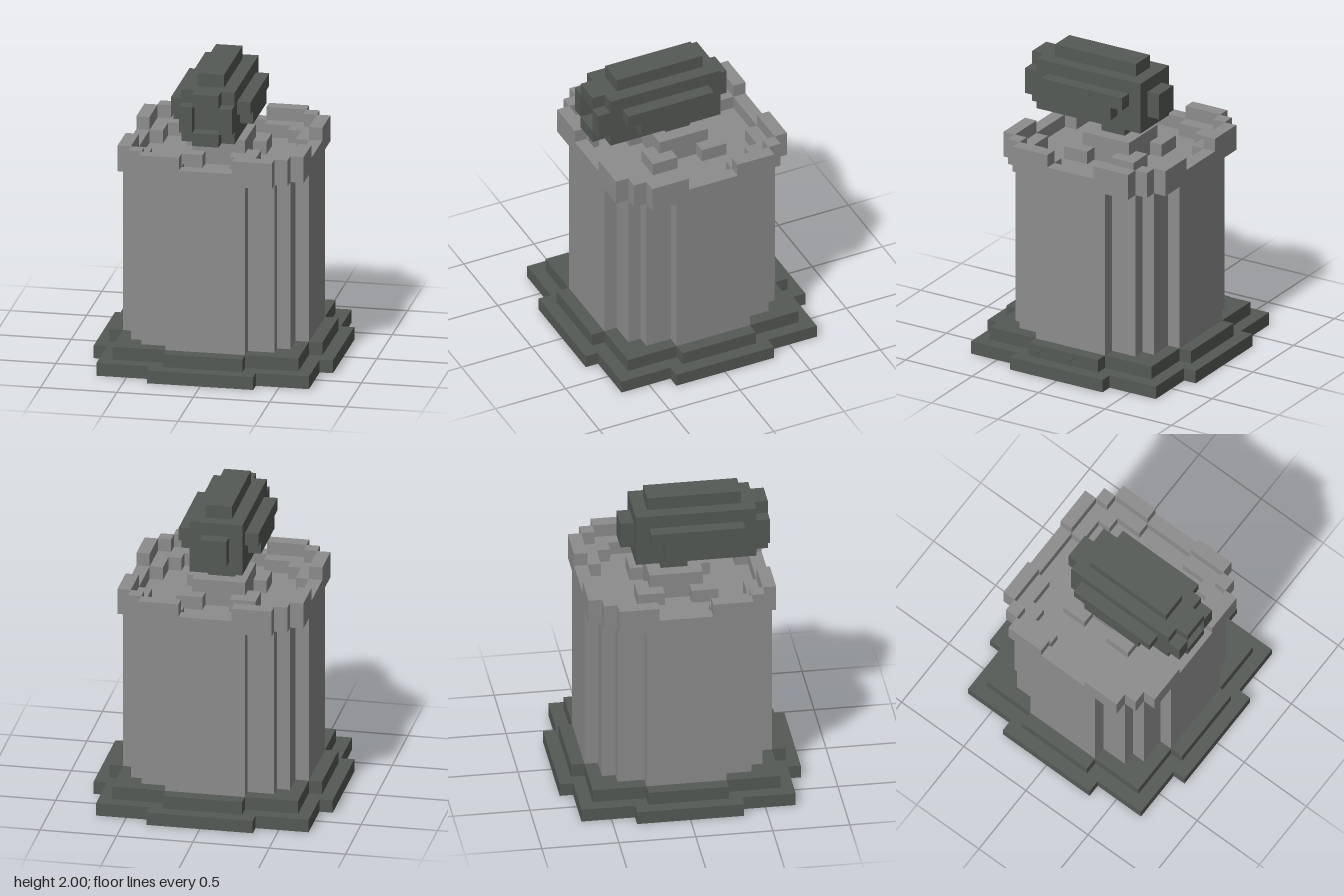
import * as THREE from 'three';

const U = 2 / 23; // one block

const stone = new THREE.MeshStandardMaterial({ color: 0x8d8d8d });
stone.name = 'stone grey';
const iron = new THREE.MeshStandardMaterial({ color: 0x555a55 });
iron.name = 'dark iron';
const wood = new THREE.MeshStandardMaterial({ color: 0xc2752f });
wood.name = 'brown wood';

// Four-way symmetric stepped outline from the corners of one quadrant
function steppedOutline(corners) {
  const quarter = [];
  corners.forEach(([x, z], i) => {
    quarter.push([x, z]);
    if (i + 1 < corners.length) quarter.push([corners[i + 1][0], z]);
  });
  const points = [];
  for (let q = 0; q < 4; q++) {
    for (const [x, z] of quarter) {
      let a = x, b = z;
      for (let k = 0; k < q; k++) [a, b] = [-b, a];
      points.push(new THREE.Vector2(a * U, b * U));
    }
  }
  return points;
}

export function createModel() {
  const model = new THREE.Group();
  model.name = 'cannonTower';

  function add(name, geometry, material) {
    const mesh = new THREE.Mesh(geometry, material);
    mesh.name = name;
    model.add(mesh);
    return mesh;
  }

  // Box between two block coordinates
  function box(name, material, x0, x1, y0, y1, z0, z1) {
    const g = new THREE.BoxGeometry((x1 - x0) * U, (y1 - y0) * U, (z1 - z0) * U);
    g.translate((x0 + x1) * U / 2, (y0 + y1) * U / 2, (z0 + z1) * U / 2);
    return add(name, g, material);
  }

  // Upright slab with the given outline between two heights
  function slab(name, material, points, y0, y1) {
    const g = new THREE.ExtrudeGeometry(new THREE.Shape(points), { depth: (y1 - y0) * U, bevelEnabled: false });
    g.rotateX(-Math.PI / 2).translate(0, y0 * U, 0);
    return add(name, g, material);
  }

  // Stepped base with a wooden underside
  slab('underside', wood, steppedOutline([[8, 3], [7, 7], [3, 8]]), 0, 0.05);
  slab('lowerStep', iron, steppedOutline([[9, 4], [8, 8], [4, 9]]), 0.01, 1);
  slab('upperStep', iron, steppedOutline([[8, 3], [7, 7], [3, 8]]), 1, 2);

  // Tower shaft
  slab('shaft', stone, steppedOutline([[7, 3], [6, 5], [5, 6], [3, 7]]), 2, 15);

  // Battlements: a stepped corner walkway with thin merlons on its rim
  const walkway = [[7, 2], [7, 5], [6, 5], [6, 6], [5, 6], [5, 7], [2, 7],
    [2, 5], [4, 5], [4, 4], [5, 4], [5, 2]].map(([x, z]) => new THREE.Vector2(x * U, z * U));
  for (let q = 0; q < 4; q++) {
    const parts = [
      slab('cornerWalkway', stone, walkway, 15, 16),
      box('merlonFront', stone, 2, 5, 16, 17, 6, 7),
      box('merlonCorner', stone, 5, 6, 16, 17, 5, 6),
      box('merlonSide', stone, 6, 7, 16, 17, 2, 5),
      box('lowParapet', stone, -2, 2, 15, 16, 6, 7),
      // Small bracket around the pedestal corner
      box('bracketLong', stone, 1, 3, 15, 16, 2, 3),
      box('bracketShort', stone, 2, 3, 15, 16, 1, 2),
    ];
    for (const part of parts) part.rotation.y = q * Math.PI / 2;
  }

  // Gun mount
  box('pedestal', stone, -2, 2, 15, 17, -2, 2);
  box('neck', iron, -1, 1, 17, 18, -1, 1);

  // Cannon
  box('barrel', iron, -2, 2, 18, 22, -3, 6);
  box('rearKnob', iron, -1, 1, 19, 21, -4, -3);
  box('topRidge', iron, -1, 1, 22, 23, -2, 5);
  for (const x0 of [-3, 2]) {
    box('sideRidgeUpper', iron, x0, x0 + 1, 20, 21, -2, 5);
    box('sideRidgeLower', iron, x0, x0 + 1, 19, 20, -1, 4);
  }

  // Cross-shaped muzzle with a square bore
  const muzzle = new THREE.Shape(steppedOutline([[2, 1], [1, 2]]));
  muzzle.holes.push(new THREE.Path(steppedOutline([[1, 1]])));
  const muzzleGeometry = new THREE.ExtrudeGeometry(muzzle, { depth: U, bevelEnabled: false });
  muzzleGeometry.translate(0, 20 * U, 6 * U);
  add('muzzle', muzzleGeometry, iron);

  return model;
}
